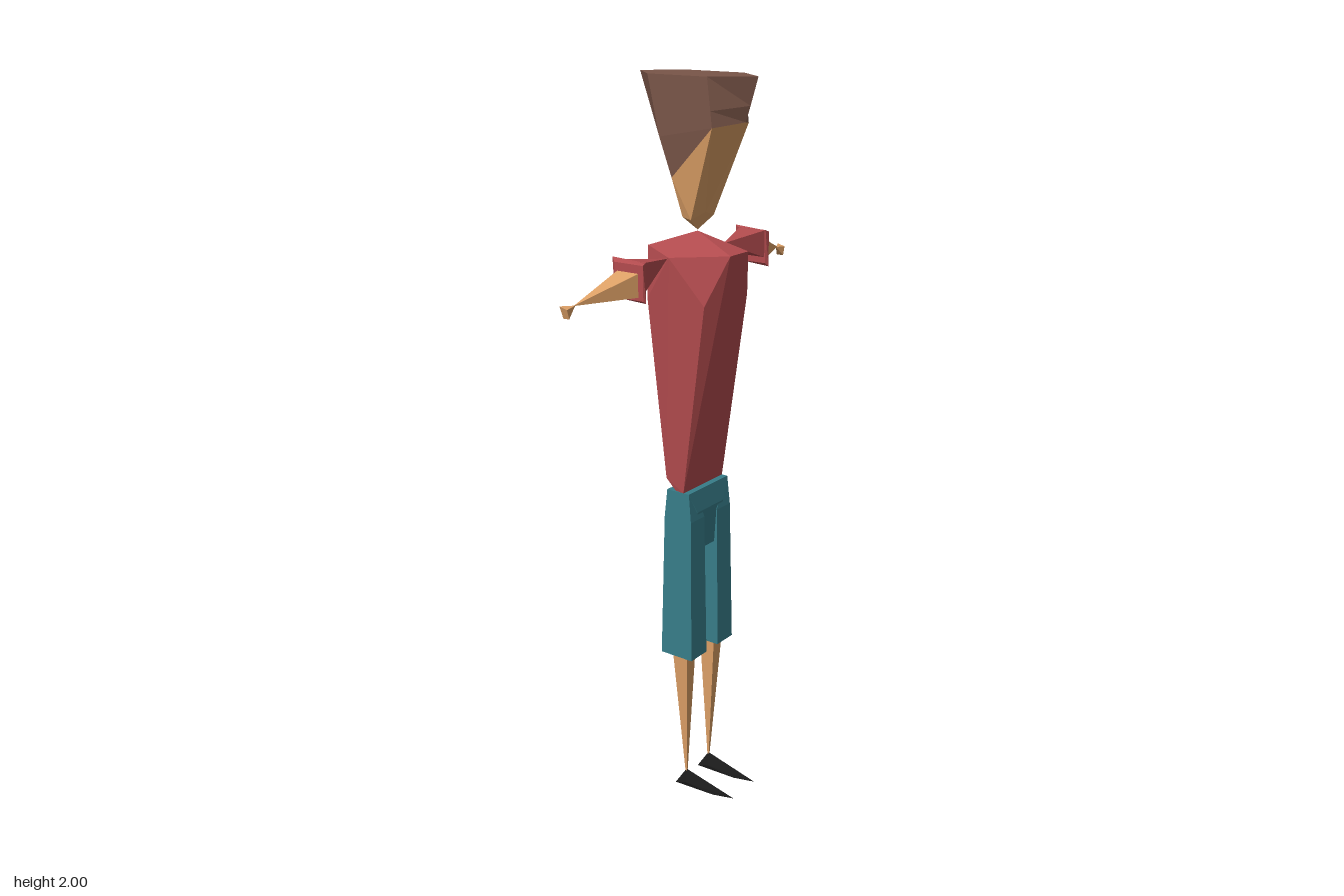
import * as THREE from 'three';
import { ConvexGeometry } from 'three/addons/geometries/ConvexGeometry.js';

const paint = (name, color) => {
  const m = new THREE.MeshStandardMaterial({ color });
  m.name = name;
  return m;
};

// Faceted solid around a few corner points; side = -1 mirrors it in x.
function solid(points, side = 1) {
  return new ConvexGeometry(points.map(([x, y, z]) => new THREE.Vector3(x * side, y, z)));
}

// Points given for x > 0 are doubled to both sides.
const both = (points) => points.flatMap(([x, y, z]) => (x ? [[x, y, z], [-x, y, z]] : [[x, y, z]]));

// Rectangle of corners at a given height.
const rect = (y, x0, x1, z0, z1) => [[x0, y, z0], [x1, y, z0], [x1, y, z1], [x0, y, z1]];

// Rectangle of corners across an arm.
const slice = (x, y0, y1, z0, z1) => [[x, y0, z0], [x, y1, z0], [x, y1, z1], [x, y0, z1]];

// Faceted skin over half rings (front to back, x >= 0), listed bottom to top.
function loft(halfRings, capTop) {
  const rings = halfRings.map((h) => [...h, ...h.slice(1, -1).reverse().map(([x, y, z]) => [-x, y, z])]);
  const out = [];
  const n = rings[0].length;
  for (let r = 0; r + 1 < rings.length; r++) {
    const a = rings[r], b = rings[r + 1];
    for (let i = 0; i < n; i++) {
      const j = (i + 1) % n;
      // mirror the quad diagonals so both halves match
      if (i < n / 2) out.push(a[i], a[j], b[j], a[i], b[j], b[i]);
      else out.push(a[i], a[j], b[i], a[j], b[j], b[i]);
    }
  }
  if (capTop) {
    const t = rings[rings.length - 1];
    for (let i = 1; i + 1 < n; i++) out.push(t[0], t[i], t[i + 1]);
  }
  const g = new THREE.BufferGeometry();
  g.setAttribute('position', new THREE.Float32BufferAttribute(out.flat(), 3));
  g.computeVertexNormals();
  return g;
}

export function createModel() {
  const model = new THREE.Group();
  model.name = 'figure';
  const hair = paint('brown hair', 0x795548);
  const skin = paint('skin', 0xdda066);
  const red = paint('red shirt', 0xb24b4e);
  const teal = paint('teal shorts', 0x377c88);
  const black = paint('black shoes', 0x1a1a1a);

  const add = (name, geometry, material, parent = model) => {
    const mesh = new THREE.Mesh(geometry, material);
    mesh.name = name;
    parent.add(mesh);
  };

  // Head: the hairline slopes from the forehead to the nape
  const chin = [0, 1.613, 0];
  const jaw = [[0, 1.66, 0.025], [0.05, 1.645, 0.015], [0.045, 1.65, -0.015], [0, 1.655, -0.035]];
  const hairline = [[0, 1.89, 0.145], [0.08, 1.88, 0.1], [0.07, 1.75, -0.03], [0, 1.69, -0.065]];
  const middle = [[0, 1.93, 0.158], [0.08, 1.92, 0.095], [0.08, 1.85, -0.06], [0, 1.79, -0.1]];
  const crown = [[0, 2, 0.18], [0.08, 2, 0.085], [0.08, 2, -0.095], [0, 2, -0.18]];
  add('face', loft([[chin, chin, chin, chin], jaw, hairline]), skin);
  add('hair', loft([hairline, middle, crown], true), hair);

  // Torso: wide at the shoulders, thin at the waist
  add('shirt', solid(both([
    [0, 1.61, 0], [0.125, 1.56, 0],
    [0.04, 1.565, 0.13], [0.04, 1.565, -0.13],
    [0.097, 1.44, 0.09], [0.097, 1.44, -0.09],
    [0.09, 0.92, 0.018], [0.085, 0.95, -0.042], [0.085, 0.92, -0.012],
  ])), red);

  // Hips bridging the two legs
  add('hips', solid([...rect(0.92, -0.09, 0.09, -0.036, 0.036),
    ...rect(0.86, -0.06, 0.06, -0.043, 0.043),
    ...rect(0.745, -0.035, 0.035, -0.035, 0.035)]), teal);

  for (const side of [1, -1]) {
    const label = side > 0 ? 'left' : 'right';

    // Arm, tapering from cuff to wrist
    const arm = new THREE.Group();
    arm.name = label + 'Arm';
    model.add(arm);
    add('sleeve', solid([[0.123, 1.557, -0.005], ...slice(0.268, 1.5, 1.575, -0.05, 0.034)], side), red, arm);
    add('cuff', solid([...slice(0.264, 1.485, 1.575, -0.055, 0.036),
      ...slice(0.278, 1.482, 1.57, -0.05, 0.038),
      [0.268, 1.58, -0.064], [0.272, 1.476, 0.042]], side), red, arm);
    add('forearm', solid([...slice(0.275, 1.49, 1.55, -0.042, 0.024), [0.445, 1.493, -0.041]], side), skin, arm);
    add('hand', solid([[0.438, 1.493, -0.041], [0.475, 1.496, -0.058], [0.475, 1.49, -0.035],
      [0.466, 1.465, -0.055], [0.468, 1.466, -0.035]], side), skin, arm);

    // Leg with square shorts, spike-like shin and pointed shoe
    const leg = new THREE.Group();
    leg.name = label + 'Leg';
    model.add(leg);
    add('shortsLeg', solid([...rect(0.92, 0.055, 0.09, -0.036, 0.036),
      ...rect(0.84, 0.03, 0.092, -0.044, 0.044),
      ...rect(0.43, 0.027, 0.099, -0.053, 0.05)], side), teal, leg);
    add('shin', solid([...rect(0.44, 0.045, 0.085, -0.025, 0.025),
      ...rect(0.035, 0.053, 0.057, -0.002, 0.002)], side), skin, leg);
    add('shoe', solid([[0.055, 0.045, 0], [0.037, 0, -0.026], [0.073, 0, -0.026],
      [0.037, 0.012, 0.01], [0.073, 0.012, 0.01],
      [0.043, 0, 0.1], [0.064, 0, 0.1], [0.053, 0.006, 0.165]], side), black, leg);
  }
  return model;
}
